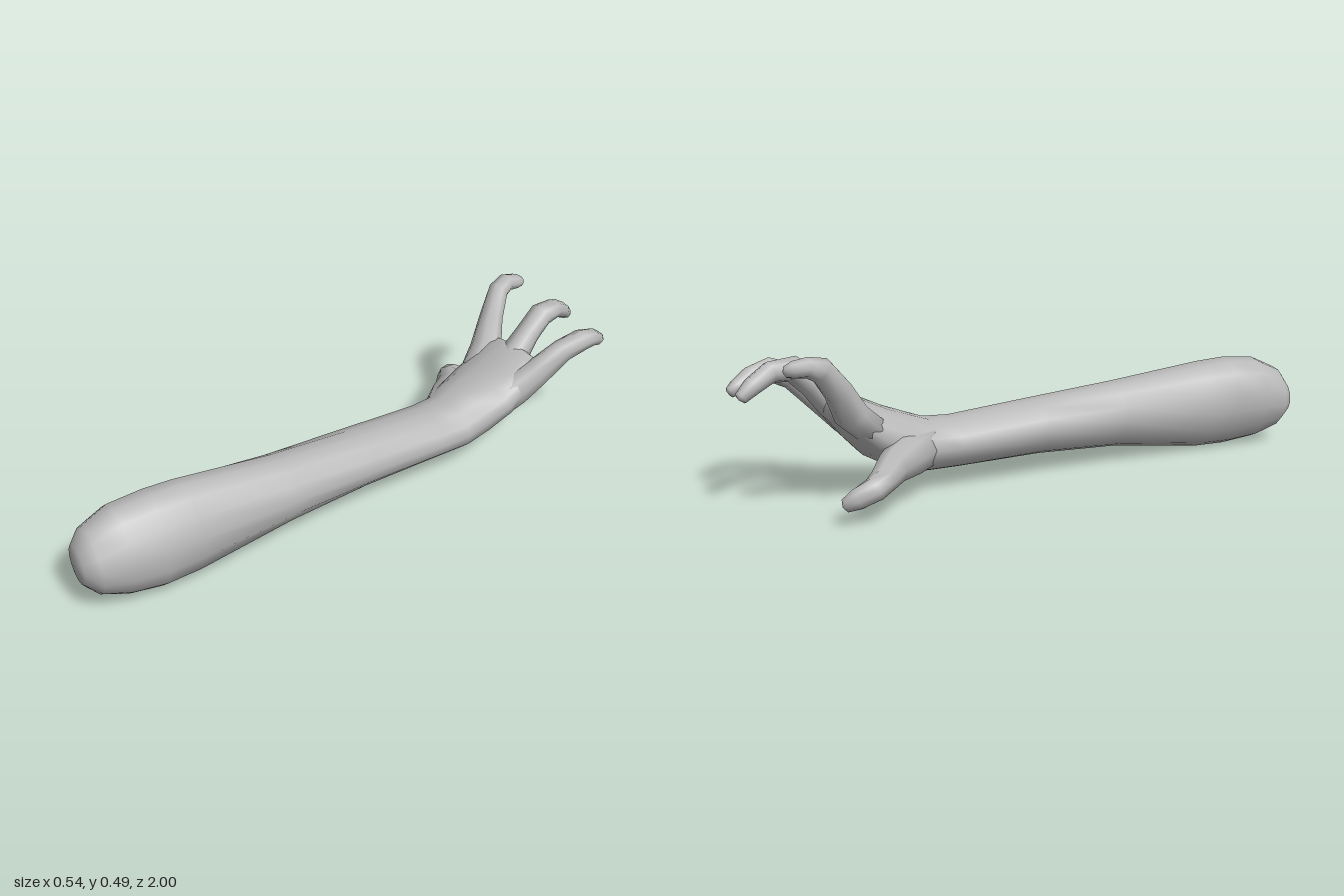
import * as THREE from 'three';

const skin = new THREE.MeshStandardMaterial({ color: 0xb8b8b8 });
skin.name = 'plain grey skin';

// Closed tube through elliptical rings: [x, y, z, half width, half height, roll]
function loft(name, rings, sides) {
  const centres = rings.map(r => new THREE.Vector3(r[0], r[1], r[2]));
  const pos = [], index = [], n = rings.length, up = new THREE.Vector3(0, 1, 0);
  const tangent = i => centres[Math.min(i + 1, n - 1)].clone().sub(centres[Math.max(i - 1, 0)]).normalize();

  rings.forEach(([, , , w, h, roll = 0], i) => {
    const t = tangent(i);
    const side = t.clone().cross(up).normalize();
    const top = side.clone().cross(t);
    for (let j = 0; j < sides; j++) {
      const a = (j / sides) * Math.PI * 2;
      const u = Math.cos(a) * w, v = Math.sin(a) * h;
      const p = centres[i].clone()
        .addScaledVector(side, u * Math.cos(roll) - v * Math.sin(roll))
        .addScaledVector(top, u * Math.sin(roll) + v * Math.cos(roll));
      pos.push(p.x, p.y, p.z);
    }
  });

  // Slightly domed caps
  const first = centres[0].clone().addScaledVector(tangent(0), -rings[0][4] * 0.12);
  const last = centres[n - 1].clone().addScaledVector(tangent(n - 1), rings[n - 1][4] * 0.4);
  pos.push(...first.toArray(), ...last.toArray());
  const p0 = n * sides, p1 = p0 + 1;

  for (let j = 0; j < sides; j++) {
    const k = (j + 1) % sides;
    for (let i = 0; i < n - 1; i++) {
      const a = i * sides + j, b = i * sides + k;
      index.push(a, a + sides, b, b, a + sides, b + sides);
    }
    index.push(p0, j, k, p1, (n - 1) * sides + k, (n - 1) * sides + j);
  }

  const geo = new THREE.BufferGeometry();
  geo.setAttribute('position', new THREE.Float32BufferAttribute(pos, 3));
  geo.setIndex(index);
  geo.computeVertexNormals();
  const mesh = new THREE.Mesh(geo, skin);
  mesh.name = name;
  return mesh;
}

export function createModel() {
  const group = new THREE.Group();
  group.name = 'reachingArm';

  // Forearm swelling at the cut end, thin wrist, palm tilting upward
  group.add(loft('forearmAndPalm', [
    [0.025, 0.155, 0.99, 0.07, 0.06, 0.15],
    [0.03, 0.155, 0.95, 0.1, 0.108, 0.15],
    [0.035, 0.16, 0.86, 0.117, 0.146, 0.15],
    [0.045, 0.158, 0.75, 0.12, 0.158, 0.15],
    [0.047, 0.156, 0.64, 0.119, 0.154, 0.14],
    [0.055, 0.158, 0.3, 0.112, 0.112, 0.08],
    [0.054, 0.152, 0, 0.112, 0.093],
    [0.053, 0.137, -0.3, 0.115, 0.083],
    [0.055, 0.139, -0.4, 0.12, 0.086],
    [0.05, 0.162, -0.48, 0.13, 0.09],
    [0.053, 0.205, -0.57, 0.145, 0.082],
    [0.058, 0.255, -0.635, 0.143, 0.066],
    [0.06, 0.298, -0.685, 0.128, 0.052],
    [0.06, 0.32, -0.71, 0.1, 0.035],
  ], 14));

  // Curled fingers
  group.add(loft('indexFinger', [
    [-0.03, 0.235, -0.61, 0.06, 0.05],
    [-0.062, 0.29, -0.675, 0.056, 0.052],
    [-0.098, 0.375, -0.725, 0.042, 0.045],
    [-0.132, 0.45, -0.785, 0.036, 0.04],
    [-0.142, 0.464, -0.83, 0.034, 0.031],
    [-0.137, 0.46, -0.87, 0.031, 0.026],
    [-0.134, 0.455, -0.892, 0.022, 0.017],
  ], 8));
  group.add(loft('middleFinger', [
    [0.06, 0.25, -0.63, 0.055, 0.05],
    [0.06, 0.305, -0.695, 0.05, 0.05],
    [0.058, 0.37, -0.755, 0.042, 0.042],
    [0.055, 0.422, -0.815, 0.043, 0.041],
    [0.045, 0.42, -0.885, 0.037, 0.034],
    [0.025, 0.388, -0.945, 0.033, 0.028],
    [0.012, 0.358, -0.985, 0.022, 0.02],
  ], 8));
  group.add(loft('outerFinger', [
    [0.12, 0.18, -0.53, 0.055, 0.06],
    [0.15, 0.235, -0.62, 0.053, 0.06],
    [0.182, 0.295, -0.69, 0.045, 0.05],
    [0.213, 0.365, -0.77, 0.037, 0.042],
    [0.23, 0.39, -0.84, 0.037, 0.038],
    [0.22, 0.378, -0.895, 0.034, 0.031],
    [0.2, 0.35, -0.945, 0.03, 0.026],
    [0.192, 0.337, -0.97, 0.02, 0.018],
  ], 8));

  // Thumb splayed sideways, tip bent forward and down
  group.add(loft('thumb', [
    [0.01, 0.145, -0.42, 0.07, 0.075],
    [-0.06, 0.138, -0.5, 0.068, 0.072],
    [-0.13, 0.128, -0.575, 0.052, 0.055],
    [-0.205, 0.115, -0.635, 0.042, 0.042],
    [-0.232, 0.102, -0.67, 0.04, 0.038],
    [-0.225, 0.078, -0.72, 0.037, 0.034],
    [-0.215, 0.06, -0.755, 0.025, 0.022],
  ], 8));

  return group;
}
